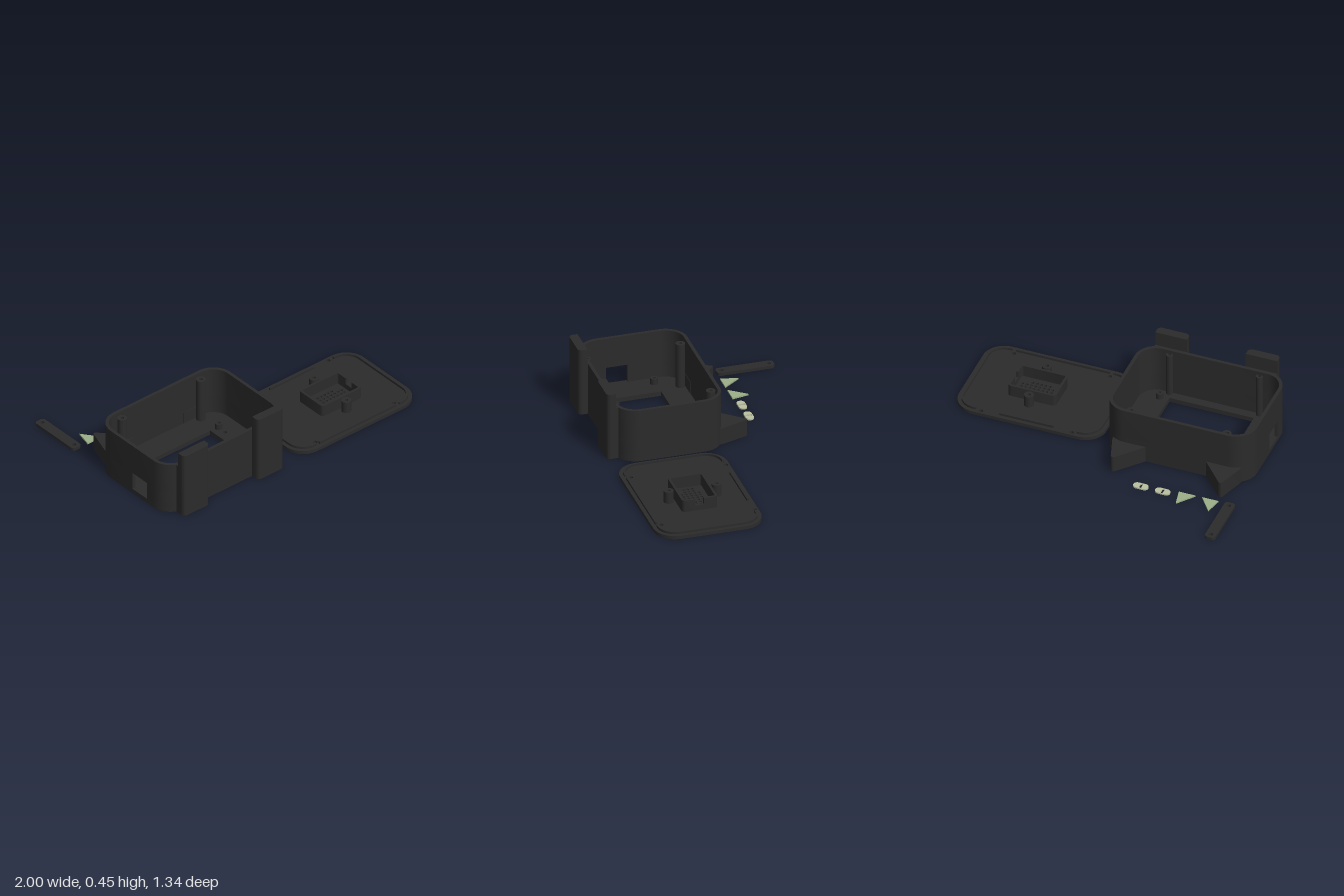
import * as THREE from 'three';
import { toCreasedNormals } from 'three/addons/utils/BufferGeometryUtils.js';

const mat = (name, color) => {
  const m = new THREE.MeshStandardMaterial({ color });
  m.name = name;
  return m;
};

// Arc points of chosen corners of a rectangle; 0 = (x1,z1), 1 = (x0,z1), 2 = (x0,z0), 3 = (x1,z0)
function corners([x0, x1, z0, z1], r, list = [0, 1, 2, 3], n = 12) {
  const pts = [];
  for (const c of list) {
    const cx = c === 0 || c === 3 ? x1 - r : x0 + r;
    const cz = c < 2 ? z1 - r : z0 + r;
    for (let i = 0; i <= n; i++) {
      const a = (c + i / n) * Math.PI / 2;
      pts.push(new THREE.Vector2(cx + r * Math.cos(a), cz + r * Math.sin(a)));
    }
  }
  return pts;
}
const inset = ([x0, x1, z0, z1], t) => [x0 + t, x1 - t, z0 + t, z1 - t];
const v = (x, z) => new THREE.Vector2(x, z);
const circle = (x, z, r) => new THREE.Path().absarc(x, z, r, 0, Math.PI * 2);

// Plan shapes, drawn as x and z
function plan(points, holes = []) {
  const s = new THREE.Shape(points);
  s.holes.push(...holes);
  return s;
}
const disc = (x, z, r, hole) => {
  const s = new THREE.Shape().absarc(x, z, r, 0, Math.PI * 2);
  if (hole) s.holes.push(circle(x, z, hole));
  return s;
};
const ring = (rect, r, t) =>
  plan(corners(rect, r), [new THREE.Path(corners(inset(rect, t), r - t))]);

// Ring broken by a gap g0..g1 in its low-x or high-x side
function gapRing(rect, r, t, side, g0, g1) {
  const line = (q, rad) => side < 0
    ? [v(q[0], g1), ...corners(q, rad, [1, 0, 3, 2]).reduce((a, p, i) => {
      const k = Math.floor(i / 13);
      (a[k] ||= []).unshift(p);
      return a;
    }, []).flat(), v(q[0], g0)]
    : [v(q[1], g1), ...corners(q, rad), v(q[1], g0)];
  return plan([...line(rect, r), ...line(inset(rect, t), r - t).reverse()]);
}

export function createModel() {
  const model = new THREE.Group();
  const dark = mat('charcoal plastic', 0x2b2b2b);
  const sage = mat('sage green', 0x9caf88);
  const pale = mat('pale green', 0xbac0a0);

  const group = name => {
    const g = new THREE.Group();
    g.name = name;
    model.add(g);
    return g;
  };
  // Extrude a plan shape from height y0 to y1
  function slab(parent, name, shape, y0, y1, material = dark) {
    const geo = new THREE.ExtrudeGeometry(shape, { depth: y1 - y0, bevelEnabled: false, curveSegments: 20 });
    geo.rotateX(Math.PI / 2).translate(0, y1, 0);
    const mesh = new THREE.Mesh(toCreasedNormals(geo, 0.5), material);
    mesh.name = name;
    parent.add(mesh);
  }

  // Case: floor with screen window, walls with a cable port on the low-x side
  const body = group('case');
  const R = [-1, -0.03, -0.08, 0.61], mid = -0.515, wall = 0.022;
  const windowHole = new THREE.Path([v(-0.795, 0.108), v(-0.235, 0.108), v(-0.235, 0.532), v(-0.795, 0.532)]);
  slab(body, 'caseFloor', plan(corners(R, 0.14), [windowHole, circle(-0.177, 0.18, 0.013)]), 0, 0.03);
  slab(body, 'wallWithPort', gapRing(R, 0.14, wall, -1, 0.27, 0.41), 0.03, 0.15);
  slab(body, 'upperWall', ring(R, 0.14, wall), 0.15, 0.355);

  for (const s of [-1, 1]) {
    const X = d => mid + s * d;
    // Pointed ears at the back
    slab(body, 'ear', plan([v(X(0.2), -0.055), v(X(0.425), -0.055), v(X(0.425), -0.07),
      v(X(0.37), -0.24), v(X(0.362), -0.249), v(X(0.348), -0.247), v(X(0.2), -0.08)]), 0, 0.112);
    // Flat feet at the front, rising above the rim
    const foot = [Math.min(X(0.195), X(0.405)), Math.max(X(0.195), X(0.405)), 0.612, 0.67];
    slab(body, 'foot', plan([v(foot[1], foot[2]), ...corners(foot, 0.028, [0, 1]), v(foot[0], foot[2])]), 0, 0.452);
    slab(body, 'footBase', plan([v(foot[0], 0.592), v(foot[1], 0.592), v(foot[1], 0.615), v(foot[0], 0.615)]), 0, 0.354);
    // Tall lid posts and short screen posts
    slab(body, 'backLidPost', disc(X(0.318), -0.027, 0.03, 0.012), 0.03, 0.33);
    slab(body, 'frontLidPost', disc(X(0.298), 0.58, 0.022, 0.01), 0.03, 0.33);
    for (const z of [0.12, 0.517])
      slab(body, 'screenPost', disc(mid - 0.028 + s * 0.367, z, 0.024, 0.01), 0.03, 0.07);
  }

  // Lid plate with corner screw holes and sound holes
  const lid = group('lid');
  const L = [0.02, 1, -0.025, 0.67];
  const holes = [[0.208, 0], [0.81, 0], [0.19, 0.61], [0.828, 0.61]].map(([x, z]) => circle(x, z, 0.014));
  for (let row = -2; row <= 2; row++) {
    const n = Math.abs(row) === 2 ? 2 : 4;
    for (let i = -n; i <= n; i++) holes.push(circle(0.555 + i * 0.0285, 0.321 + row * 0.028, 0.01));
  }
  slab(lid, 'lidPlate', plan(corners(L, 0.14), holes), 0, 0.022);

  // Raised locating lip, open at the screw holes
  const lipOuter = inset(L, 0.025), lipInner = inset(L, 0.038);
  const endLip = (list, x) => {
    const side = (q, r) => {
      const c = corners(q, r, list);
      return [v(x, c[0].y), ...c, v(x, c[c.length - 1].y)];
    };
    return plan([...side(lipOuter, 0.115), ...side(lipInner, 0.102).reverse()]);
  };
  slab(lid, 'lidLip', endLip([1, 2], 0.175), 0.022, 0.037);
  slab(lid, 'lidLip', endLip([3, 0], 0.845), 0.022, 0.037);
  for (const [x0, x1, z] of [[0.33, 0.69, 0], [0.2, 0.82, 0.632]])
    slab(lid, 'lidLip', plan([v(x0, z), v(x1, z), v(x1, z + 0.013), v(x0, z + 0.013)]), 0.022, 0.037);

  // Speaker pocket with a wire notch, and its two screw posts
  const P = [0.395, 0.715, 0.207, 0.437];
  slab(lid, 'speakerPocket', ring(P, 0.025, 0.016), 0.022, 0.057);
  slab(lid, 'speakerPocketRim', gapRing(P, 0.025, 0.016, 1, 0.298, 0.355), 0.057, 0.1);
  for (const z of [0.167, 0.477]) slab(lid, 'speakerPost', disc(0.555, z, 0.031, 0.012), 0.022, 0.1);

  // Loose clamp bar
  slab(model, 'clampBar', plan(corners([-1, -0.93, -0.672, -0.3], 0.022),
    [circle(-0.965, -0.64, 0.014), circle(-0.965, -0.333, 0.014)]), 0, 0.02);

  // Loose ear inlays and slit-pupil eyes
  const inlays = group('inlays');
  slab(inlays, 'earInlay', plan([v(-0.857, -0.41), v(-0.775, -0.3), v(-0.882, -0.3)]), 0, 0.01, sage);
  slab(inlays, 'earInlay', plan([v(-0.643, -0.41), v(-0.62, -0.3), v(-0.73, -0.3)]), 0, 0.01, sage);
  for (const x of [-0.524, -0.38]) {
    const slit = new THREE.Path(corners([x - 0.008, x + 0.008, -0.352, -0.308], 0.007));
    slab(inlays, 'eyeInlay', plan(corners([x - 0.05, x + 0.05, -0.356, -0.304], 0.0255), [slit]), 0, 0.01, pale);
  }
  return model;
}
